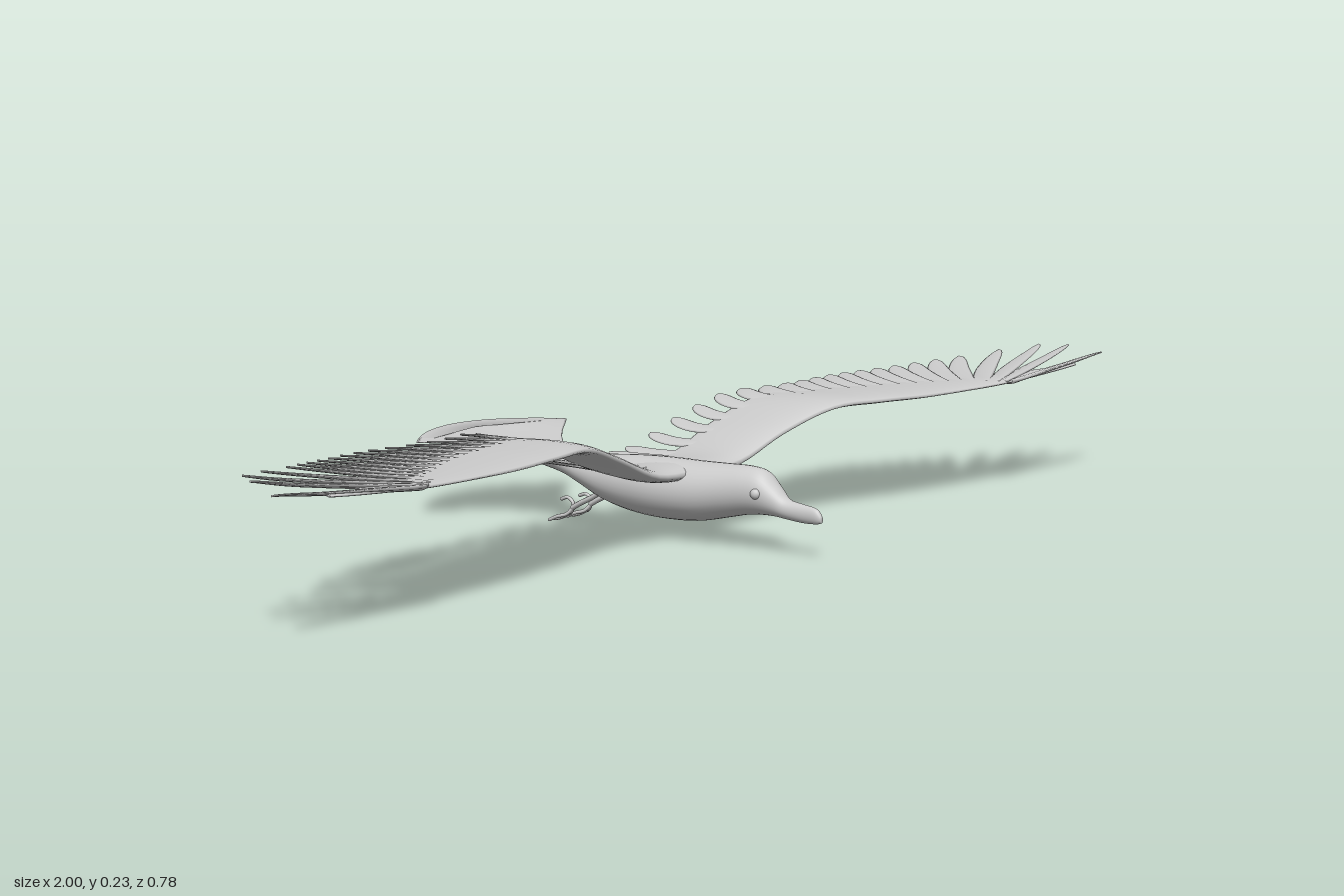
import * as THREE from 'three';

const grey = new THREE.MeshStandardMaterial({ color: 0xcccccc, side: THREE.DoubleSide });

// Smooth lookup in a table of rows; t counts rows
function sample(rows, t) {
  const n = rows.length - 1;
  const i = Math.min(Math.max(Math.floor(t), 0), n - 1), u = t - i;
  const a = rows[Math.max(i - 1, 0)], b = rows[i], c = rows[i + 1], d = rows[Math.min(i + 2, n)];
  return b.map((_, k) => b[k] + 0.5 * u * (c[k] - a[k] +
    u * (2 * a[k] - 5 * b[k] + 4 * c[k] - d[k] + u * (3 * (b[k] - c[k]) + d[k] - a[k]))));
}

// Closed skin through a list of rings, with end caps
function loft(rings) {
  const n = rings[0].length, last = rings.length - 1, pos = [], idx = [];
  rings.forEach(r => r.forEach(p => pos.push(p.x, p.y, p.z)));
  for (let i = 0; i < last; i++) for (let j = 0; j < n; j++) {
    const a = i * n + j, b = i * n + (j + 1) % n;
    idx.push(a, a + n, b, b, a + n, b + n);
  }
  for (const e of [0, last]) {
    const c = new THREE.Vector3();
    rings[e].forEach(p => c.addScaledVector(p, 1 / n));
    const ci = pos.length / 3;
    pos.push(c.x, c.y, c.z);
    for (let j = 0; j < n; j++) {
      const a = e * n + j, b = e * n + (j + 1) % n;
      if (e === 0) idx.push(ci, a, b); else idx.push(ci, b, a);
    }
  }
  const g = new THREE.BufferGeometry();
  g.setAttribute('position', new THREE.Float32BufferAttribute(pos, 3));
  g.setIndex(idx);
  g.computeVertexNormals();
  return g;
}

function ring(count, f) {
  return Array.from({ length: count }, (_, j) => {
    const a = j / count * Math.PI * 2;
    return f(Math.cos(a), Math.sin(a));
  });
}

// Mirrored copy of a geometry across x = 0
function mirror(g) {
  const m = g.clone().scale(-1, 1, 1), ix = m.index;
  for (let i = 0; i < ix.count; i += 3) {
    const b = ix.getX(i + 1);
    ix.setX(i + 1, ix.getX(i + 2));
    ix.setX(i + 2, b);
  }
  m.computeVertexNormals();
  return m;
}

// Body from beak to tail fan: z, top, bottom, half width, edge shift in z, edge lift
const BODY = [
  [0.39, 0.07, 0.06, 0.003, 0, 0], [0.38, 0.081, 0.057, 0.007, 0, 0],
  [0.355, 0.085, 0.056, 0.01, 0, 0], [0.325, 0.09, 0.058, 0.014, 0, 0],
  [0.305, 0.107, 0.06, 0.02, 0, 0], [0.28, 0.129, 0.06, 0.028, 0, 0],
  [0.25, 0.134, 0.057, 0.034, 0, 0], [0.21, 0.133, 0.048, 0.041, 0, 0],
  [0.15, 0.131, 0.035, 0.051, 0, 0], [0.08, 0.13, 0.031, 0.055, 0, 0],
  [0.02, 0.127, 0.034, 0.051, 0, 0], [-0.04, 0.122, 0.045, 0.044, 0, 0],
  [-0.09, 0.12, 0.064, 0.038, 0, 0], [-0.13, 0.12, 0.079, 0.036, 0, 0.002],
  [-0.18, 0.118, 0.09, 0.045, 0.008, 0.006], [-0.23, 0.119, 0.101, 0.066, 0.02, 0.009],
  [-0.29, 0.123, 0.114, 0.107, 0.042, 0.009], [-0.345, 0.131, 0.126, 0.15, 0.064, 0.004],
  [-0.39, 0.139, 0.136, 0.182, 0.082, -0.004],
];

function bodyGeometry() {
  const rings = [], steps = 90;
  for (let i = 0; i <= steps; i++) {
    const [z, top, bot, w, dz, lift] = sample(BODY, i / steps * (BODY.length - 1));
    rings.push(ring(32, (c, s) => new THREE.Vector3(
      c * w, (top + bot) / 2 + s * (top - bot) / 2 + lift * c * c, z + dz * c * c)));
  }
  return loft(rings);
}

// Wing height at every 0.1 of span, with a slight pitch across the chord
const HEIGHT = [0.112, 0.117, 0.155, 0.187, 0.191, 0.191, 0.193, 0.197, 0.205, 0.214, 0.225].map(v => [v]);
const wingY = (x, z) => sample(HEIGHT, x * 10)[0] + (0.12 - z) * 0.08 * (x - 0.25);

// Wing arm at every 0.1 of span: leading z, trailing z, half thickness
const ARM = [
  [0.15, 0, 0.02], [0.15, 0, 0.016], [0.16, 0, 0.014], [0.185, 0.01, 0.012], [0.21, 0.035, 0.011],
  [0.228, 0.06, 0.01], [0.24, 0.1, 0.008], [0.25, 0.165, 0.007], [0.259, 0.22, 0.005], [0.265, 0.25, 0.003],
];

function armGeometry() {
  const rings = [], steps = 45;
  for (let i = 0; i <= steps; i++) {
    const t = i / steps * 9, x = t / 10, [lead, trail, th] = sample(ARM, t);
    rings.push(ring(24, (c, s) => {
      const z = (lead + trail) / 2 + c * (lead - trail) / 2;
      return new THREE.Vector3(x, wingY(x, z) + s * th * (0.65 + 0.35 * c), z);
    }));
  }
  return loft(rings);
}

// Feather roots and tips (x, z), from the body outwards
const ROOTS = [[0.075, 0.05], [0.17, 0.05], [0.27, 0.06], [0.36, 0.085], [0.45, 0.11],
  [0.53, 0.145], [0.6, 0.185], [0.65, 0.21], [0.69, 0.23], [0.72, 0.25]];
const TIPS = [[0.065, -0.105], [0.18, -0.085], [0.3, -0.06], [0.42, -0.03], [0.53, -0.03],
  [0.62, -0.015], [0.71, 0.02], [0.81, 0.075], [0.955, 0.15], [0.998, 0.256]];

function featherGeometry(f) {
  const [rx, rz] = sample(ROOTS, f), [tx, tz] = sample(TIPS, f);
  const d = new THREE.Vector3(tx - rx, 0, tz - rz).normalize();
  const side = d.clone().cross(new THREE.Vector3(0, 1, 0));
  const outer = THREE.MathUtils.smoothstep(f, 5, 8.5);
  const half = 0.0175 + 0.003 * outer, power = 7 - 4 * outer;
  const rings = [], steps = 16;
  for (let i = 0; i <= steps; i++) {
    const t = 1 - (1 - i / steps) ** 1.5;
    const bow = -0.012 * Math.sin(Math.PI * t) * (1 - 0.5 * outer);
    const x = rx + (tx - rx) * t + side.x * bow, z = rz + (tz - rz) * t + side.z * bow;
    const y = wingY(x, z) + 0.01 * outer * t * t * (f < 8.9 ? 1 : 0.2);
    const w = half * (0.65 + 0.35 * Math.sin(Math.PI * Math.min(t, 0.6))) * Math.sqrt(Math.max(1 - t ** power, 0)) + 0.0003;
    const th = 0.0045 - 0.003 * t;
    rings.push(ring(10, (c, s) => new THREE.Vector3(
      x + side.x * c * w, y + s * th + c * w * 0.22, z + side.z * c * w)));
  }
  return loft(rings);
}

// Leg and toes as tubes in the side plane: [x offset, y, z]
const LEG = [[0, 0.065, -0.04], [0, 0.05, -0.065], [0, 0.038, -0.09], [0, 0.028, -0.108]];
const TOES = [
  [[0, 0.028, -0.106], [0, 0.037, -0.107], [0, 0.044, -0.118], [0, 0.04, -0.132]],
  ...[-1, 0, 1].map(k => [[0, 0.029, -0.106], [k * 0.005, 0.017, -0.117],
    [k * 0.01, 0.009 + 0.003 * Math.abs(k), -0.133], [k * 0.012, 0.005, -0.148]]),
];
const tube = (pts, r) => new THREE.TubeGeometry(
  new THREE.CatmullRomCurve3(pts.map(p => new THREE.Vector3(...p))), 14, r, 8);

export function createModel() {
  const model = new THREE.Group();
  const add = (parent, name, geometry) => {
    const mesh = new THREE.Mesh(geometry, grey);
    mesh.name = name;
    parent.add(mesh);
    return mesh;
  };
  add(model, 'bodyAndTail', bodyGeometry());

  const arm = armGeometry();
  const feathers = Array.from({ length: 23 }, (_, i) =>
    featherGeometry(i < 18 ? i * 7 / 18 : [7, 7.5, 8, 8.4, 9][i - 18]));

  for (const [label, s] of [['left', 1], ['right', -1]]) {
    const wing = new THREE.Group();
    wing.name = label + 'Wing';
    model.add(wing);
    add(wing, 'wingArm', s > 0 ? arm : mirror(arm));
    feathers.forEach(g => add(wing, 'feather', s > 0 ? g : mirror(g)));

    const leg = new THREE.Group();
    leg.name = label + 'Leg';
    leg.position.x = s * 0.022;
    model.add(leg);
    add(leg, 'shank', tube(LEG, 0.0045));
    TOES.forEach(p => {
      add(leg, 'toe', tube(p, 0.003));
      add(leg, 'claw', new THREE.SphereGeometry(0.003, 8, 6)).position.set(...p[3]);
    });

    add(model, label + 'Eye', new THREE.SphereGeometry(0.009, 16, 12)).position.set(s * 0.024, 0.096, 0.279);
  }
  return model;
}
